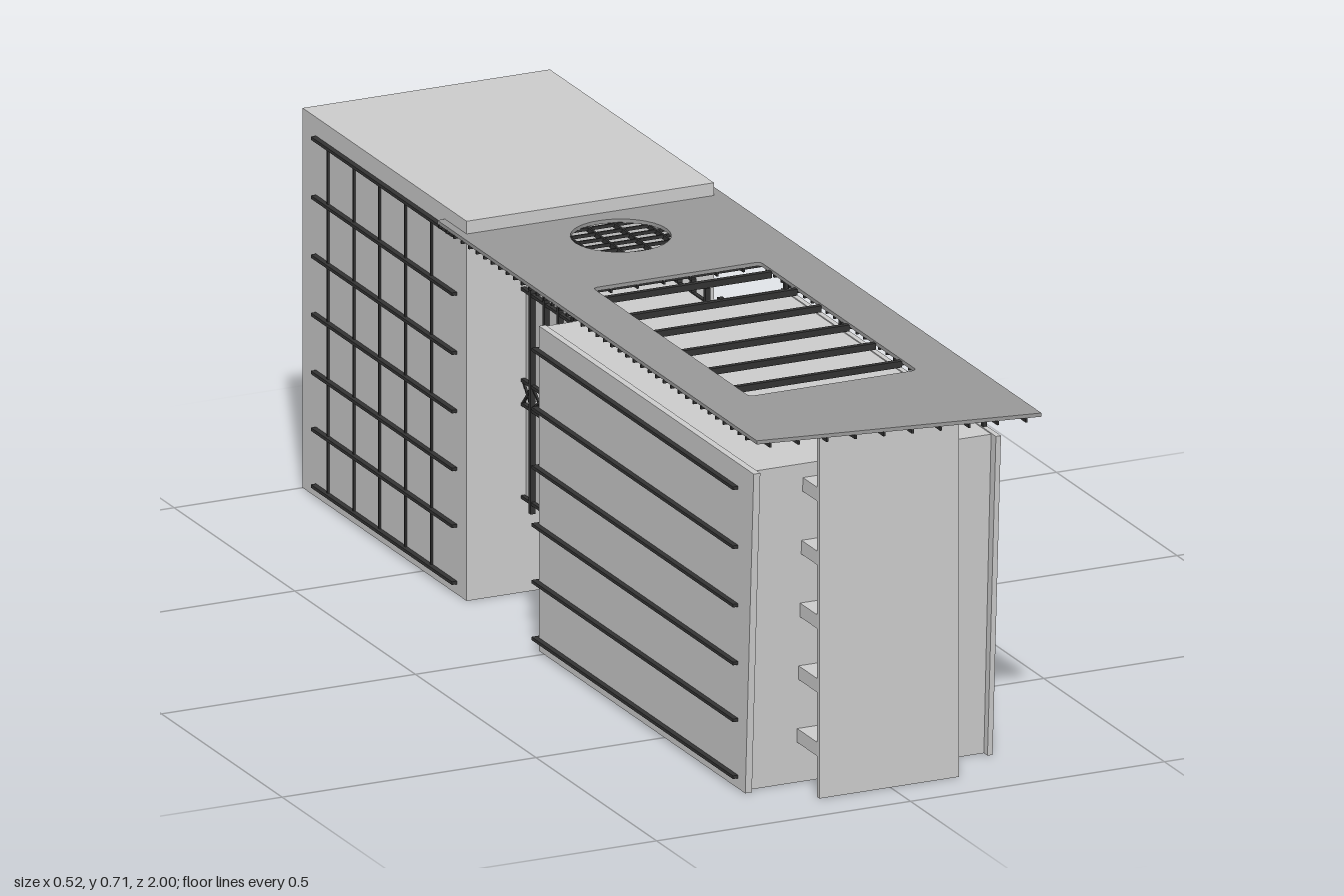
import * as THREE from 'three';

const mat = new THREE.MeshStandardMaterial({ color: 0xcccccc, flatShading: true });
const dark = new THREE.MeshStandardMaterial({ color: 0x333333, flatShading: true });
const roofGrey = new THREE.MeshStandardMaterial({ color: 0x999999, flatShading: true });

// Axis-aligned box given by its extents
function box(parent, name, x0, x1, y0, y1, z0, z1, m = mat) {
  const mesh = new THREE.Mesh(new THREE.BoxGeometry(x1 - x0, y1 - y0, z1 - z0), m);
  mesh.position.set((x0 + x1) / 2, (y0 + y1) / 2, (z0 + z1) / 2);
  mesh.name = name;
  parent.add(mesh);
  return mesh;
}

// Slab with a raked front edge, extruded across x
function rakedSlab(parent, name, x0, x1, height, zBack, zBottom, zTop) {
  const s = new THREE.Shape();
  s.moveTo(-zBack, 0);
  s.lineTo(-zBack, height);
  s.lineTo(-zTop, height);
  s.lineTo(-zBottom, 0);
  const g = new THREE.ExtrudeGeometry(s, { depth: x1 - x0, bevelEnabled: false });
  g.rotateY(Math.PI / 2);
  const mesh = new THREE.Mesh(g, mat);
  mesh.position.x = x0;
  mesh.name = name;
  parent.add(mesh);
}

const XL = -0.247, XR = 0.24;
const LEVELS = [0.022, 0.129, 0.236, 0.345, 0.455, 0.566];
const SKY = { x0: -0.17, x1: 0.16, z0: 0.04, z1: 0.69 };
const frontEdge = x => 0.955 + 0.155 * x;

// Horizontal rails and thin mullions on one long side
function facade(parent, name, side, levels, z0, z1, mullions, top) {
  const g = new THREE.Group();
  g.name = name;
  const x = side > 0 ? XR : XL;
  const span = d => (side > 0 ? [x, x + d] : [x - d, x]);
  for (const y of levels) box(g, 'rail', ...span(0.01), y - 0.003, y + 0.003, z0, z1, dark);
  for (const z of mullions) box(g, 'mullion', ...span(0.004), 0.022, top, z - 0.002, z + 0.002, dark);
  parent.add(g);
}

function buildRoof() {
  const g = new THREE.Group();
  g.name = 'roofCanopy';
  const s = new THREE.Shape();
  s.moveTo(-0.262, -0.41);
  s.lineTo(0.26, -0.41);
  s.lineTo(0.26, frontEdge(0.26));
  s.lineTo(-0.262, frontEdge(-0.262));
  s.closePath();
  // Skylight with rounded corners
  const { x0, x1, z0, z1 } = SKY, r = 0.012;
  const sky = new THREE.Path();
  sky.moveTo(x0 + r, z0);
  sky.lineTo(x1 - r, z0);
  sky.quadraticCurveTo(x1, z0, x1, z0 + r);
  sky.lineTo(x1, z1 - r);
  sky.quadraticCurveTo(x1, z1, x1 - r, z1);
  sky.lineTo(x0 + r, z1);
  sky.quadraticCurveTo(x0, z1, x0, z1 - r);
  sky.lineTo(x0, z0 + r);
  sky.quadraticCurveTo(x0, z0, x0 + r, z0);
  // Round opening
  const round = new THREE.Path();
  round.absarc(-0.003, -0.195, 0.09, 0, Math.PI * 2);
  s.holes.push(sky, round);
  const geo = new THREE.ExtrudeGeometry(s, { depth: 0.007, bevelEnabled: false, curveSegments: 16 });
  geo.rotateX(Math.PI / 2);
  const slab = new THREE.Mesh(geo, roofGrey);
  slab.position.y = 0.691;
  slab.name = 'roofSlab';
  g.add(slab);
  // Joists along z, interrupted at the skylight
  for (let i = 0; i < 10; i++) {
    const x = -0.237 + i * 0.0522;
    const runs = x > x0 && x < x1 ? [[-0.41, z0], [z1, frontEdge(x)]] : [[-0.41, frontEdge(x)]];
    for (const [a, b] of runs) box(g, 'joist', x - 0.002, x + 0.002, 0.676, 0.685, a, b, dark);
  }
  // Closely spaced cross ribs, also interrupted at the skylight
  for (let z = -0.4; z < 0.9; z += 0.031) {
    const runs = z > z0 && z < z1 ? [[-0.264, x0], [x1, 0.26]] : [[-0.264, 0.26]];
    for (const [a, b] of runs) box(g, 'rib', a, b, 0.679, 0.685, z - 0.002, z + 0.002, dark);
  }
  // Skylight bars
  for (const z of [0.085, 0.19, 0.29, 0.405, 0.515, 0.622])
    box(g, 'skylightBar', x0, x1, 0.676, 0.688, z - 0.005, z + 0.005, dark);
  return g;
}

function buildBridge() {
  const g = new THREE.Group();
  g.name = 'bridge';
  const xa = -0.13, xb = 0.12, za = -0.32, zb = -0.02;
  box(g, 'lowerBridge', xa, xb, 0.18, 0.355, za, zb);
  box(g, 'upperBridge', xa, xb, 0.4, 0.575, za, zb);
  for (const x of [xa - 0.006, xb + 0.006]) {
    // Outer posts and edge rails
    for (let i = 0; i < 5; i++) {
      const z = -0.052 - i * 0.0575;
      box(g, 'bridgePost', x - 0.005, x + 0.005, 0.16, 0.6, z - 0.004, z + 0.004, dark);
    }
    for (const y of [0.18, 0.355, 0.4, 0.572])
      box(g, 'bridgeRail', x - 0.004, x + 0.004, y - 0.003, y + 0.003, za, zb, dark);
    // Crossed bracing in the open band
    const edges = [zb, -0.052, -0.1095, -0.167, -0.2245, -0.282, za];
    for (let i = 0; i < 6; i++) {
      const w = edges[i] - edges[i + 1], len = Math.hypot(w, 0.045);
      for (const s of [-1, 1]) {
        const brace = box(g, 'brace', x - 0.002, x + 0.002, 0.3755, 0.3795, -len / 2, len / 2, dark);
        brace.position.z = (edges[i] + edges[i + 1]) / 2;
        brace.rotation.x = s * Math.atan2(0.045, w);
      }
    }
  }
  return g;
}

export function createModel() {
  const model = new THREE.Group();
  model.name = 'building';
  const steps = (start, step, n) => Array.from({ length: n }, (_, i) => start + i * step);

  // Rear block with gridded sides
  box(model, 'rearBlock', XL, XR, 0, 0.715, -1, -0.32);
  for (const side of [-1, 1])
    facade(model, 'rearFacade', side, [...LEVELS, 0.677], -0.945, -0.36, steps(-0.89, 0.107, 5), 0.677);

  // Front block between raked side walls
  rakedSlab(model, 'frontBlock', XL + 0.013, XR - 0.01, 0.61, -0.02, 0.82, 0.85);
  rakedSlab(model, 'sideWall', XL, XL + 0.013, 0.612, -0.02, 0.835, 0.87);
  rakedSlab(model, 'sideWall', XR - 0.01, XR, 0.612, -0.02, 0.835, 0.87);
  facade(model, 'frontFacade', 1, LEVELS, -0.03, 0.805, steps(-0.012, 0.1075, 8), 0.566);
  facade(model, 'frontFacade', -1, LEVELS, -0.03, 0.805, [], 0.566);

  // Rails and mullions returning onto the back of the front block
  for (const [a, b, edge] of [[XL - 0.01, -0.13, -0.13], [0.12, XR + 0.01, 0.14]]) {
    for (const y of LEVELS) box(model, 'returnRail', a, b, y - 0.003, y + 0.003, -0.03, -0.02, dark);
    box(model, 'returnMullion', edge - 0.002, edge + 0.002, 0.022, 0.566, -0.025, -0.02, dark);
  }

  // Front screen panel with shelves behind it
  box(model, 'frontPanel', -0.14, 0.135, 0, 0.683, 0.908, 0.917);
  for (const y of [0.09, 0.21, 0.33, 0.45, 0.57])
    box(model, 'shelf', -0.14, 0.135, y - 0.013, y + 0.013, 0.82, 0.908);

  // Posts carrying the canopy
  for (const z of [0.81, 0.63, 0.445, 0.22, -0.01])
    box(model, 'roofPost', 0.231, 0.239, 0.61, 0.685, z - 0.004, z + 0.004, dark);

  model.add(buildRoof(), buildBridge());
  return model;
}
